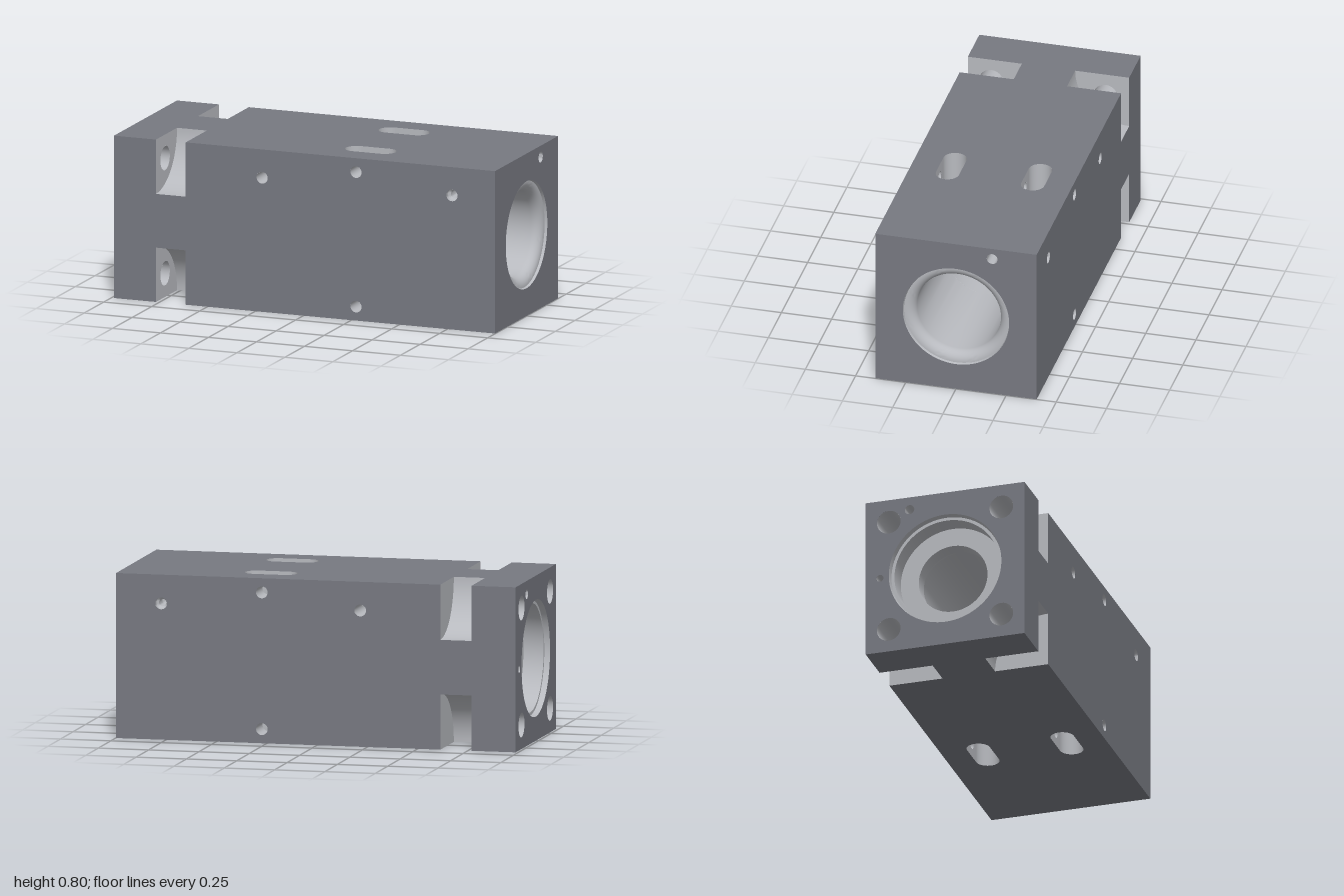
import * as THREE from 'three';
import { mergeGeometries, toCreasedNormals } from 'three/addons/utils/BufferGeometryUtils.js';

const H = 0.402;                      // half width of the square block
const XL = -0.987, XR = 0.998;        // block ends
const N0 = -0.768, N1 = -0.613, R = 0.269; // corner scallops: x range and radius
const SX = 0.274, SZ = 0.2125, SL = 0.0725, SR = 0.0575; // slot centre, half length, end radius
const BOLT = 0.285, BOLT_R = 0.06;
const CROSS_Y = 0.333, PIN_R = 0.029;
const BORE = 0.21;

const outerMat = new THREE.MeshStandardMaterial({ color: 0x777981, side: THREE.DoubleSide });
const machinedMat = new THREE.MeshStandardMaterial({ color: 0xb8babf, side: THREE.DoubleSide });

// Surface from a grid of points f(i, j)
function sheet(nu, nv, f) {
  const pos = [], idx = [];
  for (let i = 0; i <= nu; i++) for (let j = 0; j <= nv; j++) pos.push(...f(i, j));
  for (let i = 0; i < nu; i++) for (let j = 0; j < nv; j++) {
    const a = i * (nv + 1) + j, b = a + nv + 1;
    idx.push(a, b, a + 1, b, b + 1, a + 1);
  }
  const g = new THREE.BufferGeometry();
  g.setAttribute('position', new THREE.Float32BufferAttribute(pos, 3));
  g.setIndex(idx);
  g.computeVertexNormals();
  return g;
}

const polygon = pts => new THREE.Shape(pts.map(p => new THREE.Vector2(...p)));

function cutCircles(shape, holes) {
  for (const [x, y, r] of holes) shape.holes.push(new THREE.Path().absarc(x, y, r, 0, Math.PI * 2, true));
  return shape;
}

function cutSlot(shape, y) {
  const p = new THREE.Path();
  p.absarc(SX + SL, y, SR, -Math.PI / 2, Math.PI / 2, false);
  p.absarc(SX - SL, y, SR, Math.PI / 2, Math.PI * 1.5, false);
  p.closePath();
  shape.holes.push(p);
}

// Inner edge of the slot at x, infinite outside it
function slotEdge(x) {
  const d = Math.max(0, Math.abs(x - SX) - SL);
  return d < SR ? SZ - Math.sqrt(SR * SR - d * d) : Infinity;
}

// Height at which the bore meets a vertical line at z
const boreY = z => Math.sqrt(Math.max(0, BORE * BORE - z * z));

export function createModel() {
  const root = new THREE.Group();
  root.name = 'cylinderBlock';
  const group = new THREE.Group();
  group.name = 'block';
  group.position.y = 0.405;
  root.add(group);
  const add = (name, geo, mat = machinedMat) => {
    const m = new THREE.Mesh(geo, mat);
    m.name = name;
    group.add(m);
    return m;
  };

  // Four long sides, each notched at the corner scallops
  function side(name, angle, holes, slots) {
    const k = H - R;
    const s = polygon([[XL, -H], [N0, -H], [N0, -k], [N1, -k], [N1, -H], [XR, -H],
      [XR, H], [N1, H], [N1, k], [N0, k], [N0, H], [XL, H]]);
    cutCircles(s, holes);
    if (slots) [-SZ, SZ].forEach(v => cutSlot(s, v));
    add(name, new THREE.ShapeGeometry(s, 20).translate(0, 0, H).rotateX(angle), outerMat);
  }
  const sideHoles = [[-0.215, 0.262, PIN_R], [SX, CROSS_Y, PIN_R], [SX, -CROSS_Y, PIN_R], [0.774, 0.262, PIN_R]];
  side('frontSide', 0, sideHoles, false);
  side('backSide', Math.PI, sideHoles.map(([x, y, r]) => [x, -y, r]), false);
  side('topSide', -Math.PI / 2, [], true);
  side('bottomSide', Math.PI / 2, [], true);

  // End faces
  const square = () => polygon([[-H, -H], [H, -H], [H, H], [-H, H]]);
  const bolts = [[1, 1], [-1, 1], [-1, -1], [1, -1]].map(([a, b]) => [a * BOLT, b * BOLT, BOLT_R]);
  add('rightEnd', new THREE.ShapeGeometry(cutCircles(square(), [[0, 0, 0.265], [0.18, 0.346, 0.027]]), 48)
    .rotateY(Math.PI / 2).translate(XR, 0, 0), outerMat);
  add('leftEnd', new THREE.ShapeGeometry(cutCircles(square(),
    [[0, 0, 0.285], [-0.18, 0.337, 0.024], [-0.33, -0.007, 0.018], ...bolts]), 48)
    .rotateY(-Math.PI / 2).translate(XL, 0, 0), outerMat);

  // Corner scallops with their end walls and bolt holes
  const sector = () => {
    const s = new THREE.Shape();
    s.moveTo(H, H);
    s.lineTo(H - R, H);
    s.absarc(H, H, R, Math.PI, Math.PI * 1.5, false);
    s.lineTo(H, H);
    return s;
  };
  for (let k = 0; k < 4; k++) {
    const turn = k * Math.PI / 2;
    add('scallopFloor', sheet(1, 24, (i, j) => {
      const a = Math.PI + j / 24 * Math.PI / 2;
      return [i ? N1 : N0, H + R * Math.sin(a), H + R * Math.cos(a)];
    }).rotateX(turn));
    add('scallopFlangeWall', new THREE.ShapeGeometry(cutCircles(sector(), [[BOLT, BOLT, BOLT_R]]), 24)
      .rotateY(Math.PI / 2).translate(N0, 0, 0).rotateX(turn));
    add('scallopBodyWall', new THREE.ShapeGeometry(sector(), 24)
      .rotateY(-Math.PI / 2).translate(N1, 0, 0).rotateX(turn));
    add('boltHole', new THREE.CylinderGeometry(BOLT_R, BOLT_R, N0 - XL, 32, 1, true)
      .rotateZ(Math.PI / 2).translate((N0 + XL) / 2, BOLT, BOLT).rotateX(turn));
  }

  // Main bore: left counterbore and lip, conical shoulder, long cylinder, rounded right mouth
  const stations = [[XL, 0.285], [-0.96, 0.28], [-0.96, 0.265], [-0.86, 0.265], [-0.86, 0.174],
    [-0.78, 0.174], [-0.71, BORE]];
  for (let i = 0; i <= 40; i++) stations.push([SX - (SL + SR) * Math.cos(i / 40 * Math.PI), BORE]);
  for (let i = 0; i <= 8; i++) {
    const a = i / 8 * Math.PI / 2;
    stations.push([0.935 + 0.05 * Math.sin(a), 0.258 - 0.048 * Math.cos(a)]);
  }
  stations.push([0.985, 0.262], [XR, 0.265]);
  const halves = [1, -1].map(s => sheet(stations.length - 1, 48, (i, j) => {
    const [x, r] = stations[i];
    const a = Math.asin(Math.min(1, slotEdge(x) / r)) * (j / 24 - 1);
    return [x, s * r * Math.cos(a), s * r * Math.sin(a)];
  }));
  add('bore', toCreasedNormals(mergeGeometries(halves), 0.45));

  // Slot walls, breaking into the bore and pierced by the cross holes
  const crossHole = [[SX, CROSS_Y, PIN_R]];
  const zi = SZ - SR, zo = SZ + SR, x0 = SX - SL, x1 = SX + SL;
  const flatWall = z => new THREE.ShapeGeometry(
    cutCircles(polygon([[x0, boreY(z)], [x1, boreY(z)], [x1, H], [x0, H]]), crossHole), 20).translate(0, 0, z);
  const roundEnd = e => sheet(20, 1, (i, j) => {
    const a = i / 20 * Math.PI, z = SZ + SR * Math.cos(a);
    return [SX + e * (SL + SR * Math.sin(a)), j ? H : boreY(z), z];
  });
  const slotParts = [flatWall(zo), flatWall(zi), roundEnd(-1), roundEnd(1)];
  for (const t of [1, -1]) for (const s of [1, -1])
    for (const g of slotParts) add('slotWall', g).scale.set(1, t, s);

  // Cross holes through the sides, interrupted by the slots
  const tube = (x, y, za, zb) => add('crossHole',
    new THREE.CylinderGeometry(PIN_R, PIN_R, zb - za, 24, 1, true).rotateX(Math.PI / 2).translate(x, y, (za + zb) / 2));
  tube(-0.215, 0.262, -H, H);
  for (const y of [CROSS_Y, -CROSS_Y]) [[-H, -zo], [-zi, zi], [zo, H]].forEach(([a, b]) => tube(SX, y, a, b));

  // Blind holes given as [radius, depth] profiles
  function blindHole(name, profile, at, dir) {
    const pts = profile.map(([r, d]) => new THREE.Vector2(r, -d));
    const m = add(name, toCreasedNormals(new THREE.LatheGeometry(pts, 24), 0.6));
    m.position.set(...at);
    m.quaternion.setFromUnitVectors(new THREE.Vector3(0, 1, 0), new THREE.Vector3(...dir));
  }
  for (const s of [1, -1])
    blindHole('sidePort', [[PIN_R, 0], [PIN_R, 0.02], [0.018, 0.03], [0.018, 0.1], [0, 0.11]], [0.774, 0.262, s * H], [0, 0, s]);
  blindHole('rightEndHole', [[0.027, 0], [0.027, 0.2], [0, 0.2]], [XR, 0.346, -0.18], [1, 0, 0]);
  blindHole('leftEndHole', [[0.024, 0], [0.024, 0.12], [0, 0.13]], [XL, 0.337, -0.18], [-1, 0, 0]);
  blindHole('leftPinHole', [[0.018, 0], [0.018, 0.1], [0, 0.11]], [XL, -0.007, -0.33], [-1, 0, 0]);

  return root;
}
